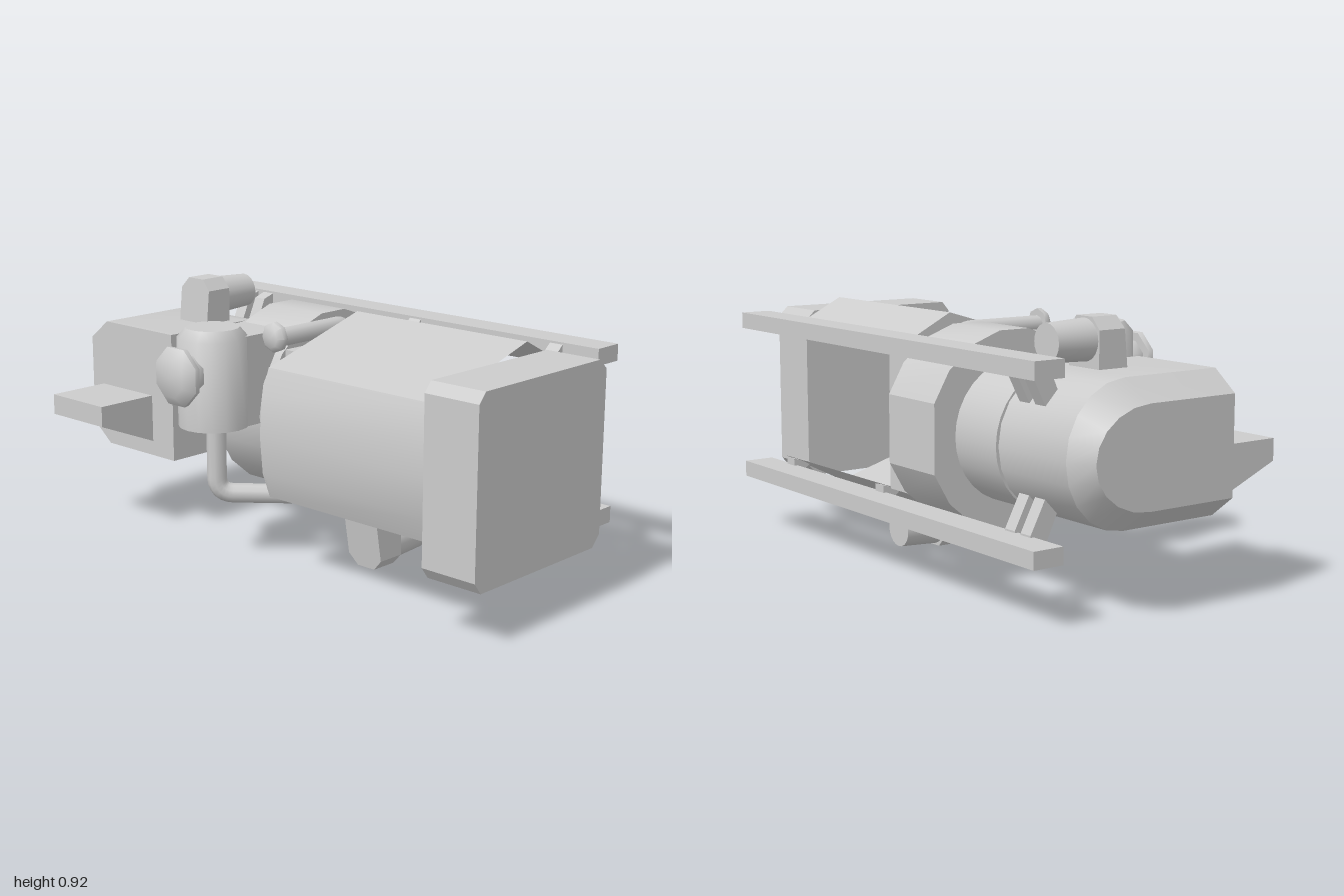
import * as THREE from 'three';
import { toCreasedNormals } from 'three/addons/utils/BufferGeometryUtils.js';

const MID_Y = 0.513, AXIS_Z = -0.165;

export function createModel() {
  const model = new THREE.Group();
  const grey = new THREE.MeshStandardMaterial({ color: 0xcccccc });
  const greyDouble = new THREE.MeshStandardMaterial({ color: 0xcccccc, side: THREE.DoubleSide });

  const add = (name, geometry, pos = [0, 0, 0], parent = model, material = grey) => {
    const mesh = new THREE.Mesh(geometry, material);
    mesh.name = name;
    mesh.position.set(...pos);
    parent.add(mesh);
    return mesh;
  };
  const crease = (g, a = 0.5) => toCreasedNormals(g, a);
  // Solid with a [z, y] outline running from x0 to x1
  const prism = (outline, x0, x1) => {
    const shape = new THREE.Shape(outline.map(([z, y]) => new THREE.Vector2(-z, y)));
    const g = new THREE.ExtrudeGeometry(shape, { depth: x1 - x0, bevelEnabled: false });
    return g.rotateY(Math.PI / 2).translate(x0, 0, 0);
  };
  const box = (x0, x1, y0, y1, z0, z1) =>
    new THREE.BoxGeometry(x1 - x0, y1 - y0, z1 - z0)
      .translate((x0 + x1) / 2, (y0 + y1) / 2, (z0 + z1) / 2);
  const lathe = (points, sides) =>
    crease(new THREE.LatheGeometry(points.map(p => new THREE.Vector2(...p)), sides), 0.85);
  const flipY = y => 2 * MID_Y - y;

  // Chamfered end cover
  add('endCover', prism([[0.34, 0.19], [0.37, 0.23], [0.37, 0.79], [0.34, 0.825],
    [-0.25, 0.825], [-0.287, 0.79], [-0.287, 0.23], [-0.25, 0.19]], 0.79, 1));

  // Main housing: a folded shell, open at the back, with a wall at its inner end
  const hull = [[-0.385, 0.745], [-0.14, 0.87], [0.30, 0.74], [0.333, 0.65], [0.345, 0.513],
    [0.333, 0.376], [0.30, 0.286], [-0.14, 0.155], [-0.385, 0.28]];
  const shell = new THREE.PlaneGeometry(1, 1, 1, hull.length - 1);
  for (let i = 0; i < hull.length; i++) {
    shell.attributes.position.setXYZ(2 * i, 0.05, hull[i][1], hull[i][0]);
    shell.attributes.position.setXYZ(2 * i + 1, 0.79, hull[i][1], hull[i][0]);
  }
  add('mainHousing', crease(shell, 0.4), [0, 0, 0], model, greyDouble);
  add('housingWall', prism(hull, 0.05, 0.06));

  // Neck, large collar with a flat back, and drive cylinder
  add('neck', box(-0.09, 0.05, 0.275, 0.745, -0.39, 0.08));
  const collar = [];
  for (let a = 20; a <= 340; a += 20) {
    const t = THREE.MathUtils.degToRad(a);
    collar.push([AXIS_Z - 0.34 * Math.cos(t), MID_Y + 0.34 * Math.sin(t)]);
  }
  add('collar', crease(prism(collar, -0.355, -0.09)));
  add('driveCylinder', new THREE.CylinderGeometry(0.238, 0.238, 0.25, 32).rotateZ(Math.PI / 2),
    [-0.45, MID_Y, AXIS_Z]);

  // Gear head: flat front, round back, tapered outer end
  const head = [[0.21, MID_Y - 0.238], [0.21, MID_Y + 0.238]];
  for (let i = 0; i <= 10; i++) {
    const t = Math.PI * i / 10;
    head.push([AXIS_Z - 0.228 * Math.sin(t), MID_Y + 0.238 * Math.cos(t)]);
  }
  add('gearHead', crease(prism(head, -0.91, -0.545)));
  const taper = prism(head, -1, -0.91);
  const p = taper.attributes.position;
  for (let i = 0; i < p.count; i++) {
    if (p.getX(i) > -0.95) continue;
    p.setY(i, MID_Y + (p.getY(i) - MID_Y) * 0.7);
    p.setZ(i, 0.21 + (p.getZ(i) - 0.21) * 0.93);
  }
  add('gearHeadTaper', crease(taper));

  // Terminal box with sloping underside
  add('terminalBox', prism([[0.21, 0.33], [0.45, 0.43], [0.45, 0.505], [0.21, 0.505]], -0.94, -0.66));

  // Filter canister, its mount and the front valve knob
  add('canister', lathe([[0, 0.49], [0.125, 0.49], [0.125, 0.805], [0.095, 0.84], [0, 0.84]], 16),
    [-0.23, 0, 0.295]);
  add('canisterMount', box(-0.32, -0.125, 0.49, 0.81, 0.06, 0.28));
  const knob = lathe([[0, 0.38], [0.068, 0.39], [0.076, 0.42], [0.074, 0.448], [0.105, 0.448],
    [0.108, 0.468], [0.07, 0.5], [0, 0.5]], 8);
  add('valveKnob', knob.rotateY(Math.PI / 8).rotateX(Math.PI / 2), [-0.23, 0.69, 0]);

  // Bent pipes
  const pipe = (name, points, r) => {
    const path = new THREE.CurvePath();
    const v = points.map(q => new THREE.Vector3(...q));
    let last = v[0];
    for (let i = 1; i < v.length - 1; i++) {
      const a = v[i].clone().add(v[i - 1].clone().sub(v[i]).setLength(0.06));
      const b = v[i].clone().add(v[i + 1].clone().sub(v[i]).setLength(0.06));
      path.add(new THREE.LineCurve3(last, a));
      path.add(new THREE.QuadraticBezierCurve3(a, v[i], b));
      last = b;
    }
    path.add(new THREE.LineCurve3(last, v[v.length - 1]));
    add(name, new THREE.TubeGeometry(path, 40, r, 10), [0, 0, 0], model, greyDouble);
  };
  pipe('lowerPipe', [[-0.225, 0.5, 0.29], [-0.225, 0.24, 0.29], [0.02, 0.23, 0.04]], 0.035);
  pipe('upperPipe', [[-0.02, 0.813, 0.2], [-0.02, 0.813, -0.16], [-0.02, 0.72, -0.16]], 0.033);
  add('upperPipeCap', lathe([[0, 0], [0.053, 0], [0.053, 0.018], [0.035, 0.035], [0, 0.035]], 8)
    .rotateX(Math.PI / 2), [-0.02, 0.818, 0.19]);

  // Nozzles: sloped elbow block with a spout pointing back
  const nozzle = (name, x, y, z, slant, turn) => {
    const group = new THREE.Group();
    group.name = name;
    const block = new THREE.Shape([[-0.075, -0.13], [0.075, -0.13], [0.075, 0.035],
      [0.038, 0.075], [-0.038, 0.075], [-0.075, 0.035]].map(q => new THREE.Vector2(...q)));
    const g = new THREE.ExtrudeGeometry(block, { depth: 0.1, bevelEnabled: false });
    const pos = g.attributes.position;
    for (let i = 0; i < pos.count; i++)
      if (pos.getZ(i) > 0.05) pos.setZ(i, 0.1 + (0.075 - pos.getY(i)) * slant);
    g.computeVertexNormals();
    add('elbow', g, [0, 0, 0], group);
    add('spout', new THREE.CylinderGeometry(0.07, 0.062, 0.15, 20).rotateX(Math.PI / 2),
      [0, 0, -0.075], group);
    group.position.set(x, y, z);
    if (turn) group.rotation.z = Math.PI;
    model.add(group);
  };
  nozzle('topNozzle', -0.665, 0.84, -0.125, 0.1, false);
  nozzle('bottomNozzle', 0.235, 0.075, -0.09, 0.17, true);

  // Mounting rails and the struts that hold them, above and below
  const strut = [[-0.40, 0.745], [-0.40, 0.82], [-0.385, 0.815], [-0.325, 0.765]];
  const longStrut = [[-0.40, 0.765], [-0.40, 0.82], [-0.34, 0.80], [-0.29, 0.69], [-0.34, 0.65]];
  for (const upper of [true, false]) {
    const side = upper ? 'upper' : 'lower';
    const place = o => upper ? o : o.map(([z, y]) => [z, flipY(y)]);
    const y0 = upper ? 0.765 : 0.197;
    add(side + 'Rail', box(-0.895, 0.9, y0, y0 + 0.058, -0.5, -0.387));
    for (const x of [0.11, 0.73]) add(side + 'Strut', prism(place(strut), x - 0.026, x + 0.026));
    for (const x of [-0.725, -0.645])
      add(side + 'HeadStrut', prism(place(longStrut), x - 0.025, x + 0.025));
  }
  return model;
}
